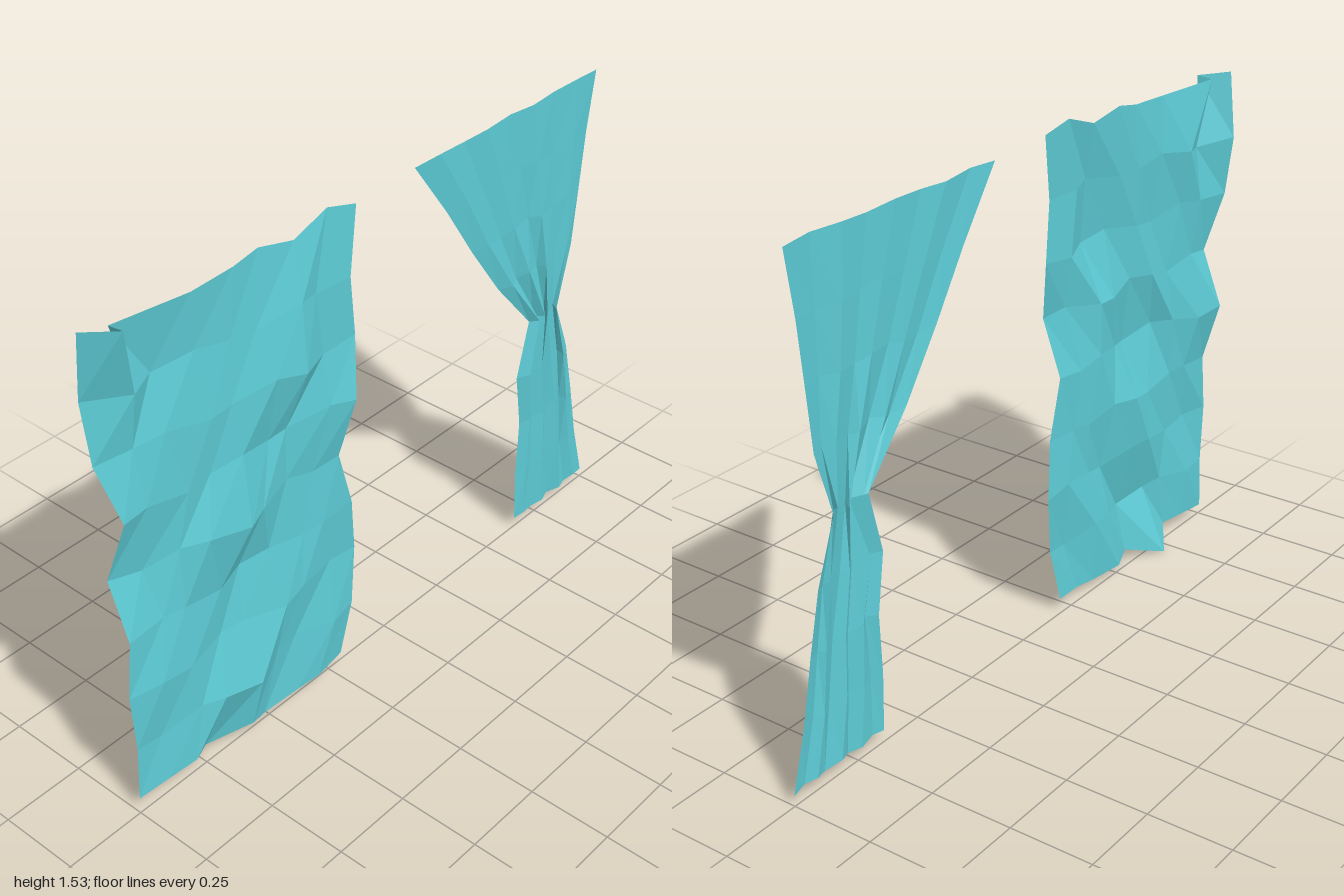
import * as THREE from 'three';

const N = 8; // cells along each side of a curtain
const rowY = [1.5, 1.31, 1.13, 0.95, 0.765, 0.58, 0.4, 0.215, 0.035];

const cloth = new THREE.MeshStandardMaterial({
  color: 0x5ccad4, flatShading: true, side: THREE.DoubleSide,
});

// Faceted sheet hung between a front and a back edge (z per row, top to bottom);
// shift(row, column) gives the [x, y, z] displacement of each grid point.
function curtain(name, frontZ, backZ, shift) {
  const geo = new THREE.PlaneGeometry(1, 1, N, N);
  const pos = geo.attributes.position;
  for (let r = 0; r <= N; r++) {
    for (let c = 0; c <= N; c++) {
      const [dx, dy, dz] = shift(r, c);
      const z = THREE.MathUtils.lerp(frontZ[r], backZ[r], c / N);
      pos.setXYZ(r * (N + 1) + c, dx, rowY[r] + dy, z + dz);
    }
  }
  const flat = geo.toNonIndexed();
  flat.computeVertexNormals();
  const mesh = new THREE.Mesh(flat, cloth);
  mesh.name = name;
  return mesh;
}

// Depth of the loose curtain's ripples, in hundredths, row by row from the top
const ripples = [
  [-5, 2, -3, 0, 0, 0, 1, 1, 2],
  [-7, -1, -4, -1, 0, 1, 4, 2, 3],
  [-5, -3, -1, 1, 1, 4, 6, 2, 3],
  [-1, -1, 0, 0, 2, 0, 0, 4, 6],
  [-6, -4, -1, 3, 5, 3, 0, 1, 2],
  [-1, -1, 0, 0, -2, 0, 1, 2, 2],
  [-1, 1, 1, -1, 0, 3, 2, 1, 1],
  [-1, -1, 1, 3, 5, 1, 0, 3, 2],
  [-1, 0, 1, -5, 2, 0, 1, 2, 1],
];
const topHem = [0.01, 0.005, 0, -0.005, 0, 0.015, -0.01, 0.03, 0.005];
const bottomHem = [0.005, 0.01, 0.015, -0.034, 0.005, -0.015, -0.01, -0.005, 0.005];

function looseShift(r, c) {
  const inner = c > 0 && c < N;
  const dy = r === 0 ? topHem[c] : r === N ? bottomHem[c]
    : inner ? 0.015 * Math.sin(r * 2.3 + c * 1.9) : 0;
  let dz = inner ? 0.018 * Math.sin(r * 1.7 + c * 2.6) : 0;
  if (r === 0 && c === 1) dz = 0.03;   // corner folded over
  if (r === 0 && c === 2) dz = 0.14;
  return [ripples[r][c] / 100, dy, dz];
}

// Pleats of the gathered curtain tighten and overlap around the tie
function gatheredShift(r, c) {
  const inner = c > 0 && c < N;
  const pinch = [0.25, 0.35, 0.5, 0.9, 1, 0.9, 0.7, 0.7, 0.5][r];
  const side = c % 2 ? 1 : -1;
  const dx = 0.005 + 0.013 * pinch * side * (0.75 + 0.25 * Math.sin(r * 1.3 + c));
  const dz = inner ? 0.014 * pinch * Math.sin(c * 2.4 + r * 0.6) : 0;
  const dy = r === 0 || r === N ? 0.004 * Math.sin(c * 2.1)
    : inner ? 0.008 * Math.sin(c * 1.7 + r) : 0;
  return [dx, dy, dz];
}

export function createModel() {
  const model = new THREE.Group();
  model.name = 'curtains';
  model.add(
    curtain('looseCurtain',
      [1, 1, 0.995, 0.95, 0.98, 0.97, 0.99, 0.98, 0.99],
      [0.13, 0.165, 0.15, 0.18, 0.21, 0.16, 0.14, 0.165, 0.205],
      looseShift),
    curtain('gatheredCurtain',
      [-0.12, -0.26, -0.38, -0.51, -0.67, -0.625, -0.65, -0.64, -0.64],
      [-0.93, -0.9, -0.88, -0.865, -0.81, -0.88, -0.915, -0.95, -1],
      gatheredShift),
  );
  return model;
}
